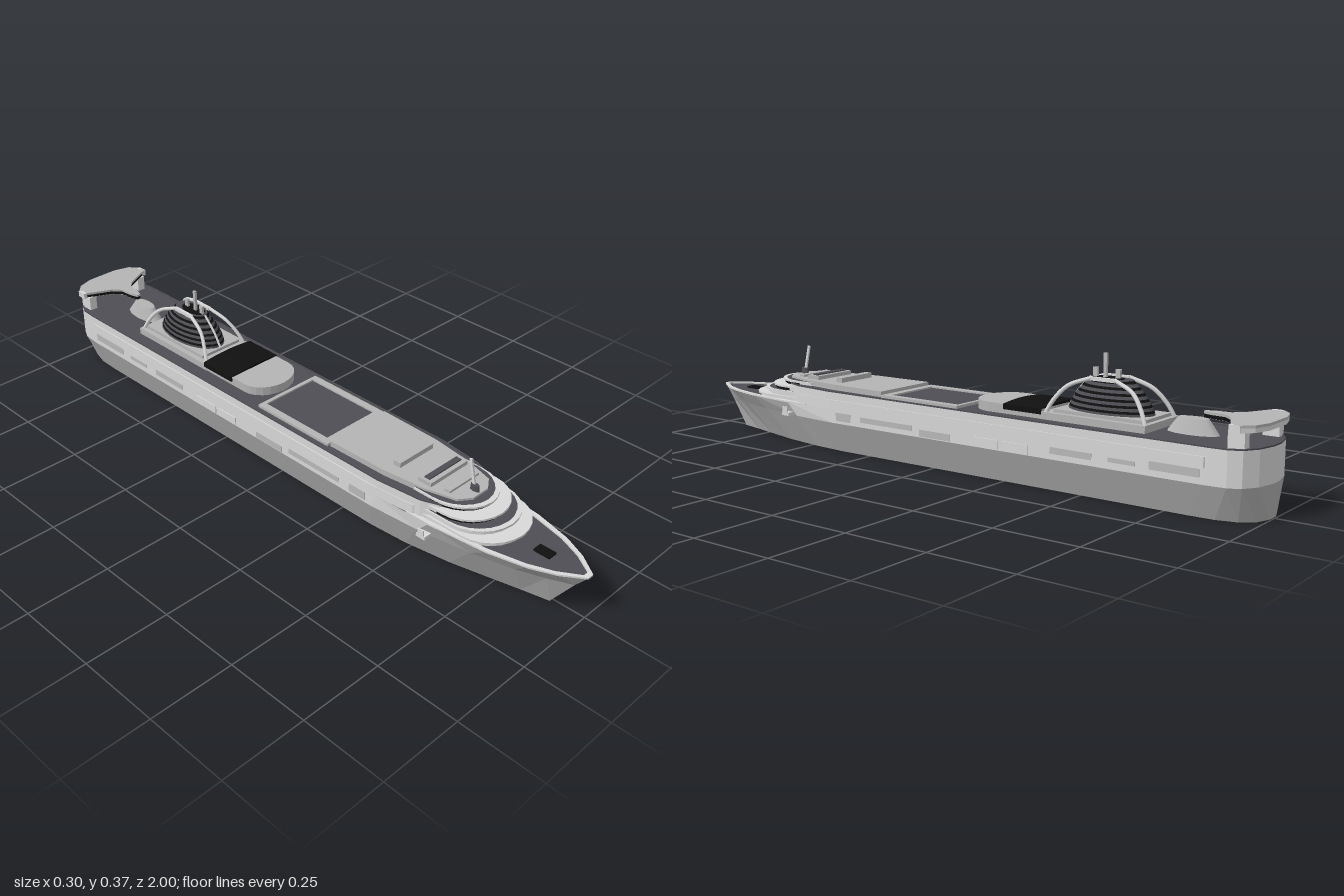
import * as THREE from 'three';

const mat = (name, color, side = THREE.FrontSide) => {
  const m = new THREE.MeshStandardMaterial({ color, side });
  m.name = name;
  return m;
};

export function createModel() {
  const ship = new THREE.Group();
  ship.name = 'cruiseShip';
  const white = mat('paleGrey', 0xd8d8d8, THREE.DoubleSide);
  const roof = mat('roofGrey', 0xb4b4b4, THREE.DoubleSide);
  const hullGrey = mat('hullGrey', 0xacacac, THREE.DoubleSide);
  const deck = mat('deckGrey', 0x4f4e54, THREE.DoubleSide);
  const grey = mat('midGrey', 0xb8b8b8);
  const black = mat('black', 0x101010, THREE.DoubleSide);

  const add = (name, geo, m) => {
    const mesh = new THREE.Mesh(geo, m);
    mesh.name = name;
    ship.add(mesh);
    return mesh;
  };
  const box = (name, w, h, d, x, y, z, m) =>
    add(name, new THREE.BoxGeometry(w, h, d).translate(x, y, z), m);

  // Half outlines run from bow to stern as [x, z]; mirror them into a plan shape
  const closed = (half) => [...half, ...half.slice().reverse().map(([x, z]) => [-x, z])];
  const plan = (half) => new THREE.Shape(closed(half).map(([x, z]) => new THREE.Vector2(x, -z)));
  const slab = (name, half, y0, y1, m, hole) => {
    const s = plan(half);
    if (hole) s.holes.push(plan(hole));
    const g = new THREE.ExtrudeGeometry(s, { depth: y1 - y0, bevelEnabled: false });
    return add(name, g.rotateX(-Math.PI / 2).translate(0, y0, 0), m);
  };
  const sheet = (name, half, y, m) =>
    add(name, new THREE.ShapeGeometry(plan(half)).rotateX(-Math.PI / 2).translate(0, y, 0), m);
  const inset = (half, kx, kz) => half.map(([x, z]) => [x * kx, z * kz]);
  const rect = (w, z0, z1) => [[w, z0], [w, z1]];
  const roundFront = (w, zFront, depth, zBack, n = 6) => {
    const p = [];
    for (let i = 0; i <= n; i++) {
      const a = (i / n) * Math.PI / 2;
      p.push([Math.max(0.004, w * Math.sin(a)), zFront - depth * (1 - Math.cos(a))]);
    }
    p.push([w, zBack]);
    return p;
  };

  // Hull: three levels joined side by side, open underneath
  const stern = [[0.132, -0.93], [0.115, -0.963], [0.075, -0.988], [0.02, -1]];
  const keel = [[0.012, 0.9], [0.03, 0.82], [0.052, 0.73], [0.078, 0.62], [0.1, 0.48], [0.108, 0.36],
    [0.108, -0.82], [0.105, -0.89], [0.09, -0.945], [0.06, -0.98], [0.02, -0.995]];
  const waist = [[0.01, 0.965], [0.04, 0.9], [0.07, 0.82], [0.1, 0.7], [0.125, 0.54], [0.137, 0.38],
    [0.137, -0.87], ...stern];
  const sheer = [[0.01, 1], [0.052, 0.94], [0.083, 0.87], [0.11, 0.76], [0.129, 0.58], [0.137, 0.4],
    [0.137, -0.88], ...stern];
  const levels = [[keel, 0], [waist, 0.092], [sheer, 0.135]].map(([half, y]) =>
    closed(half).map(([x, z]) => [x, y, z]));
  const lower = [], topsides = [];
  for (let l = 0; l < 2; l++) {
    const a = levels[l], b = levels[l + 1];
    for (let i = 0; i < a.length; i++) {
      const j = (i + 1) % a.length;
      const aft = l === 1 && a[i][2] < 0.6 && a[j][2] < 0.6;
      (aft ? topsides : lower).push(...a[i], ...a[j], ...b[i], ...a[j], ...b[j], ...b[i]);
    }
  }
  const shell = (name, tris, m) => {
    const g = new THREE.BufferGeometry();
    g.setAttribute('position', new THREE.Float32BufferAttribute(tris, 3));
    g.computeVertexNormals();
    add(name, g, m);
  };
  shell('hull', lower, hullGrey);
  shell('topsides', topsides, white);
  sheet('lowerDeck', inset(waist, 0.985, 0.995), 0.09, deck);
  const foredeck = [...sheer.slice(0, 5), [0.129, 0.5]];
  sheet('foredeck', inset(foredeck, 0.985, 0.995), 0.13, deck);
  slab('bowRail', foredeck, 0.131, 0.136, white, [...inset(foredeck.slice(0, 5), 0.9, 0.985), [0.116, 0.51]]);
  box('foredeckHatch', 0.03, 0.006, 0.05, 0, 0.133, 0.86, black);

  // Main superstructure following the hull sides and flush at the stern
  const house = [[0.04, 0.62], [0.1, 0.59], [0.12, 0.54], [0.135, 0.4], [0.135, -0.88], ...stern];
  slab('superstructure', house, 0.13, 0.186, white);
  slab('balconyBelt', [[0.1, 0.55], [0.125, 0.52], [0.1385, 0.38], [0.1385, -0.87], [0.1, -0.9]], 0.134, 0.163, white);
  sheet('upperDeck', house, 0.1865, deck);
  slab('deckRail', house, 0.186, 0.19, deck, inset(house, 0.97, 0.997));

  // Curved terraces stepping up behind the foredeck; the upper two have window bands
  [[0.117, 0.79, 0.13], [0.115, 0.755, 0.147], [0.112, 0.72, 0.163], [0.1, 0.685, 0.18]].forEach(([w, z, y], i) => {
    slab('terrace' + i, roundFront(w - 0.005, z - 0.01, 0.11, 0.5), y, y + 0.012, white);
    slab('terraceRoof' + i, roundFront(w, z, 0.11, 0.5), y + 0.011, y + 0.017, white);
    if (i > 1) slab('terraceWindows' + i, roundFront(w - 0.002, z - 0.007, 0.11, z - 0.13), y + 0.003, y + 0.0115, black);
    if (i % 2) sheet('terraceWalk' + i, roundFront(w - 0.004, z - 0.014, 0.11, 0.5), y + 0.0175, deck);
  });

  // Forward roof with lockers and mast
  slab('forwardRoof', [[0.03, 0.645], [0.065, 0.62], [0.09, 0.53], [0.106, 0.4], [0.11, 0.2]], 0.187, 0.204, roof);
  box('locker', 0.15, 0.014, 0.045, 0, 0.209, 0.515, roof);
  box('lockerTop', 0.13, 0.004, 0.018, 0, 0.218, 0.515, deck);
  box('roofVent', 0.135, 0.016, 0.024, 0, 0.211, 0.41, roof);
  box('roofStep', 0.12, 0.008, 0.02, 0, 0.207, 0.58, roof);
  const mast = box('foreMast', 0.006, 0.09, 0.008, 0, 0, 0, white);
  mast.position.set(0, 0.25, 0.615);
  mast.rotation.x = -0.22;
  add('mastFoot', new THREE.CylinderGeometry(0.007, 0.008, 0.02, 8).scale(1, 1, 2).translate(0, 0.212, 0.625), deck);

  // Pool court frame and floor
  slab('poolFrame', rect(0.117, 0.195, -0.09), 0.187, 0.195, roof, rect(0.095, 0.172, -0.078));
  box('poolFloor', 0.19, 0.003, 0.25, 0, 0.189, 0.047, deck);

  // Round-fronted deck house with the arched black roof behind
  slab('deckHouse', roundFront(0.09, -0.105, 0.075, -0.36), 0.187, 0.214, roof);
  const arch = new THREE.Shape();
  arch.moveTo(-0.095, 0.2);
  arch.lineTo(-0.095, 0.215);
  arch.quadraticCurveTo(0, 0.228, 0.095, 0.215);
  arch.lineTo(0.095, 0.2);
  add('archedRoof', new THREE.ExtrudeGeometry(arch, { depth: 0.125, bevelEnabled: false, curveSegments: 8 })
    .translate(0, 0, -0.36), black);

  // Funnel: plinth, louvred oval casing, corner ribs and masts
  slab('funnelPlinth', rect(0.092, -0.355, -0.68), 0.187, 0.207, roof);
  slab('funnelFoot', rect(0.075, -0.39, -0.665), 0.207, 0.216, roof);
  const radius = (t) => 0.07 - 0.013 * t - 0.022 * t * t;
  const band = (name, t0, t1, m) => {
    const g = new THREE.CylinderGeometry(radius(t1), radius(t0), 0.088 * (t1 - t0), 24, 1, true);
    g.scale(1, 1, 1.85).translate(0, 0.214 + 0.044 * (t0 + t1), -0.525);
    add(name, g, m);
  };
  const bands = 6;
  for (let i = 0; i < bands; i++) {
    band('funnelCasing', i / bands, (i + 0.55) / bands, deck);
    band('funnelLouvre', (i + 0.55) / bands, (i + 1) / bands, black);
  }
  add('funnelTop', new THREE.CylinderGeometry(0.035, 0.035, 0.003, 24).scale(1, 1, 1.85).translate(0, 0.302, -0.525), deck);
  add('funnelMouth', new THREE.CylinderGeometry(0.026, 0.026, 0.003, 20).scale(1, 1, 1.8).translate(0, 0.304, -0.515), black);
  for (const sx of [-1, 1]) {
    for (const sz of [-1, 1]) {
      const rib = new THREE.CatmullRomCurve3([[0.08, 0.2, 0.155], [0.069, 0.24, 0.135], [0.053, 0.28, 0.1], [0.037, 0.306, 0.035]]
        .map(([x, y, z]) => new THREE.Vector3(sx * x, y, -0.52 + sz * z)));
      add('funnelRib', new THREE.TubeGeometry(rib, 12, 0.006, 6), white);
    }
    box('ribBridge', 0.01, 0.01, 0.08, sx * 0.037, 0.304, -0.52, white);
  }
  const spine = new THREE.CatmullRomCurve3([[0.215, -0.392], [0.26, -0.42], [0.303, -0.46]]
    .map(([y, z]) => new THREE.Vector3(0, y, z)));
  add('funnelSpine', new THREE.TubeGeometry(spine, 8, 0.004, 6), white);
  box('mainMast', 0.008, 0.07, 0.01, 0, 0.336, -0.505, grey);
  for (const z of [-0.475, -0.545]) box('exhaustPipe', 0.008, 0.028, 0.014, 0, 0.316, z, grey);

  // Aft pod, sloped down towards its front
  add('aftPod', new THREE.CylinderGeometry(0.02, 0.034, 0.04, 12).scale(1, 1, 2.2).translate(0, 0.207, -0.77), roof);

  // Stern wing on two pylons, with a dark band below its front edge
  const front = [[0.006, -0.8], [0.014, -0.825], [0.018, -0.865], [0.04, -0.89], [0.127, -0.932]];
  slab('sternWing', [...front, [0.128, -0.955], [0.1, -0.985], [0.05, -1]], 0.242, 0.249, roof);
  const under = [...inset(front, 0.95, 1.001), [0.12, -0.95]];
  slab('wingShadowBand', under, 0.232, 0.242, black);
  sheet('wingUnderside', under, 0.2315, roof);
  slab('wingRearEdge', [[0.126, -0.95], [0.126, -0.957], [0.099, -0.984], [0.05, -0.999]], 0.23, 0.242, white);
  for (const s of [-1, 1]) {
    box('wingTip', 0.012, 0.018, 0.03, s * 0.122, 0.24, -0.943, white);
    box('wingPylon', 0.026, 0.047, 0.045, s * 0.1, 0.209, -0.942, white);
  }

  // Side balconies, lifeboat ledges and bridge wings, mirrored
  for (const s of [-1, 1]) {
    for (const [z0, z1, y, h] of [[0.36, 0.3, 0.113, 0.025], [0.26, 0.06, 0.115, 0.016], [0.03, -0.08, 0.105, 0.02],
      [-0.42, -0.55, 0.117, 0.018], [-0.6, -0.68, 0.117, 0.012], [-0.72, -0.86, 0.12, 0.022]])
      box('balconyRow', 0.004, h, z0 - z1, s * 0.1365, y, (z0 + z1) / 2, grey);
    for (const [z0, z1] of [[-0.17, -0.25], [-0.26, -0.35]])
      box('lifeboatLedge', 0.006, 0.026, z0 - z1, s * 0.137, 0.108, (z0 + z1) / 2, white);
    box('bridgeWing', 0.035, 0.01, 0.03, s * 0.13, 0.098, 0.57, white);
    box('bridgeWingPost', 0.004, 0.022, 0.02, s * 0.146, 0.11, 0.57, white);
  }
  return ship;
}
